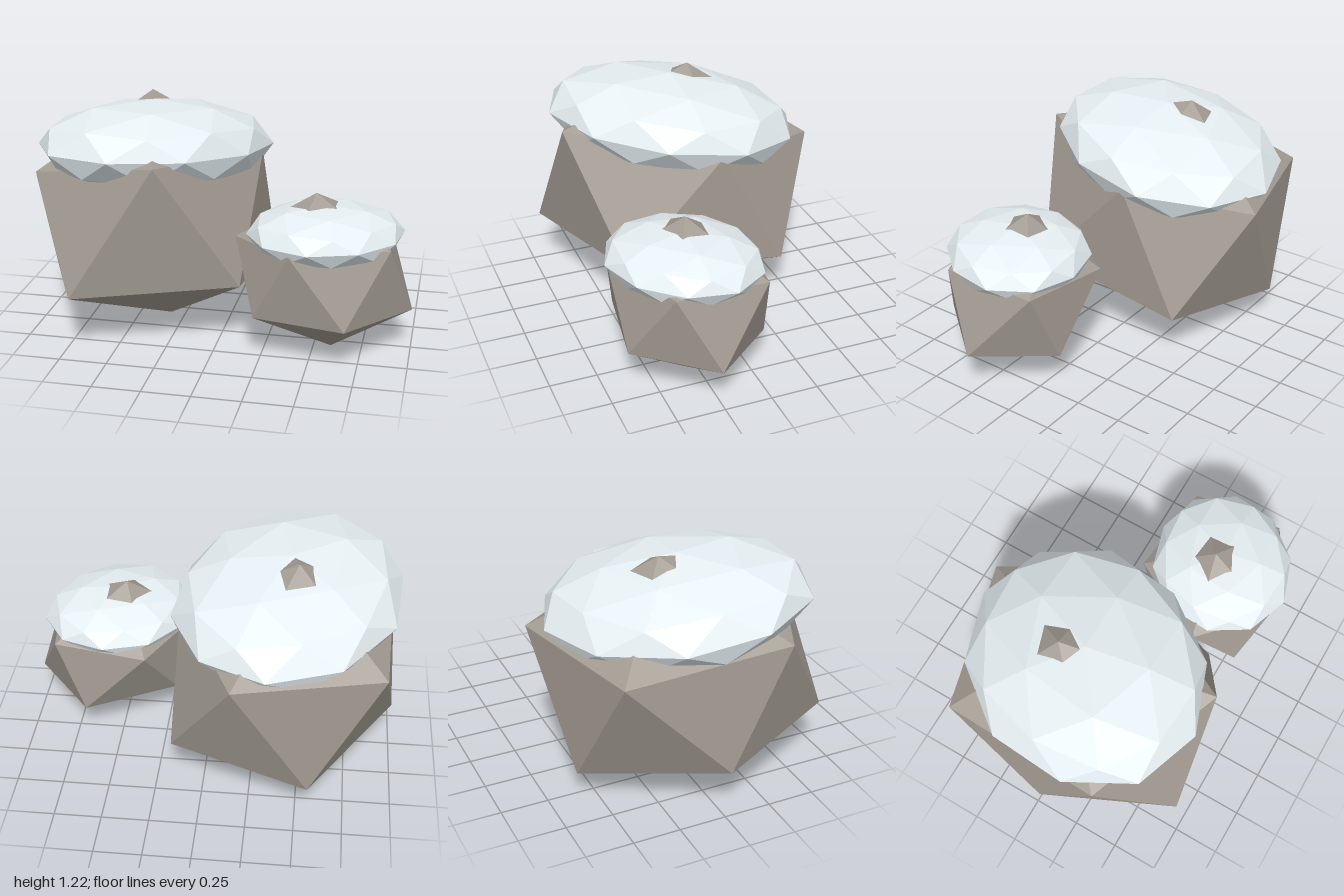
import * as THREE from 'three';

const rockMat = new THREE.MeshStandardMaterial({ color: 0xa39c93, flatShading: true });
const snowMat = new THREE.MeshStandardMaterial({ color: 0xe6eff3, flatShading: true });

// Irregular icosahedron: top, ring of five, lower ring of five, bottom.
// lower[i] sits between upper[i] and upper[i + 1].
function rock(name, top, upper, lower, bottom) {
  const index = [];
  for (let i = 0; i < 5; i++) {
    const j = (i + 1) % 5;
    const u = 1 + i, u2 = 1 + j, l = 6 + i, l2 = 6 + j;
    index.push(0, u2, u, u, u2, l, l, u2, l2, 11, l, l2);
  }
  const geo = new THREE.BufferGeometry();
  geo.setAttribute('position', new THREE.Float32BufferAttribute([top, ...upper, ...lower, bottom].flat(), 3));
  geo.setIndex(index);
  geo.computeVertexNormals();
  const mesh = new THREE.Mesh(geo, rockMat);
  mesh.name = name;
  return mesh;
}

// Flattened faceted dome, pole up; it leans along z and is skewed in plan
function snowCap(name, centre, radii, lean, skew) {
  const geo = new THREE.IcosahedronGeometry(1, 1);
  geo.rotateZ(Math.atan(2 / (1 + Math.sqrt(5))));
  geo.rotateY(Math.PI);
  geo.scale(...radii);
  const p = geo.attributes.position;
  for (let i = 0; i < p.count; i++) {
    const x = p.getX(i), y = p.getY(i), z = p.getZ(i);
    // slight unevenness, depending only on position
    const k = 1 + 0.02 * Math.sin(7 * x + 11 * y + 5 * z);
    p.setXYZ(i, x * k - skew * z, y + lean * z, z * k);
  }
  geo.computeVertexNormals();
  const mesh = new THREE.Mesh(geo, snowMat);
  mesh.name = name;
  mesh.position.set(...centre);
  return mesh;
}

export function createModel() {
  const group = new THREE.Group();
  group.name = 'snowyRocks';

  group.add(rock('largeRock',
    [-0.46, 1.22, -0.12],
    [[0.15, 0.92, -0.09], [-0.26, 1.02, 0.66], [-0.97, 0.87, 0.36], [-0.93, 0.81, -0.51], [-0.16, 0.83, -0.71]],
    [[0.13, 0.35, 0.45], [-0.7, 0.32, 0.71], [-1, 0.25, 0.03], [-0.56, 0.16, -0.61], [0.17, 0.26, -0.43]],
    [-0.33, 0, 0.07]));
  group.add(snowCap('largeSnowCap', [-0.41, 0.955, 0], [0.6, 0.243, 0.67], 0.12, 0.12));

  group.add(rock('smallRock',
    [0.49, 0.82, 0.26],
    [[0.89, 0.61, 0.46], [0.41, 0.61, 0.65], [0.09, 0.59, 0.35], [0.35, 0.55, -0.1], [0.85, 0.58, -0.04]],
    [[0.69, 0.23, 0.64], [0.22, 0.24, 0.57], [0.21, 0.2, 0.15], [0.69, 0.19, -0.09], [1, 0.22, 0.26]],
    [0.59, 0, 0.31]));
  group.add(snowCap('smallSnowCap', [0.54, 0.622, 0.285], [0.4, 0.147, 0.395], 0.04, 0.1));

  return group;
}
